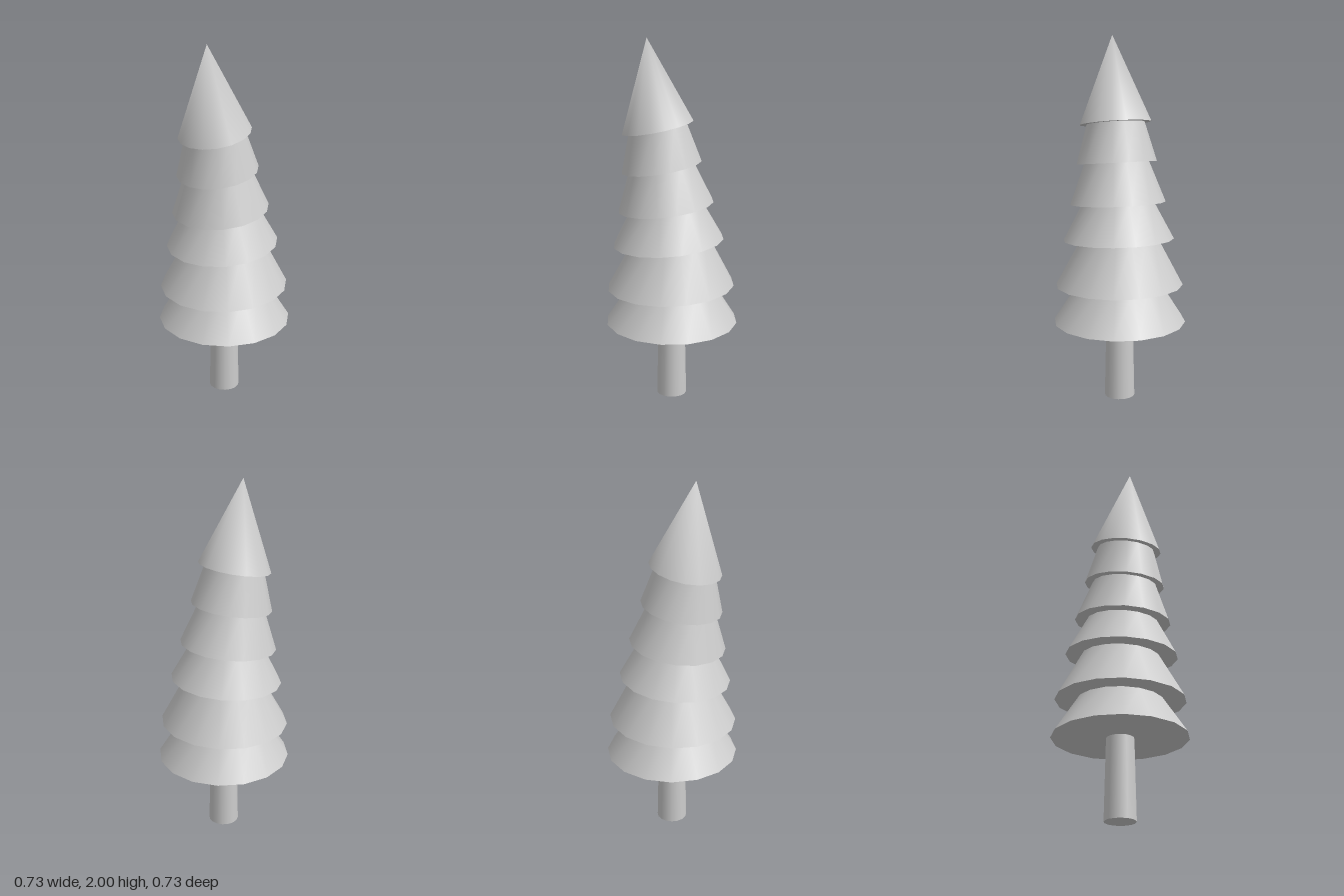
import * as THREE from 'three';

const SIDES = 16;

// Point on a ring tilted about z: ring = [centre x, centre y, radius, tilt]
function ringPoint([cx, cy, r, tilt], i) {
  const a = (i / SIDES) * Math.PI * 2;
  const u = r * Math.cos(a);
  return [cx + u * Math.cos(tilt), cy + u * Math.sin(tilt), r * Math.sin(a)];
}

// Closed skirt: smooth sides from a base ring to an upper ring or a shared tip, plus a flat underside
function skirtGeometry(base, top) {
  const pos = [];
  const index = [];
  const pointed = top[2] === 0;
  for (let i = 0; i < SIDES; i++) pos.push(...ringPoint(base, i));
  if (pointed) pos.push(top[0], top[1], 0);
  else for (let i = 0; i < SIDES; i++) pos.push(...ringPoint(top, i));

  for (let i = 0; i < SIDES; i++) {
    const j = (i + 1) % SIDES;
    if (pointed) index.push(i, SIDES, j);
    else index.push(i, SIDES + i, j, j, SIDES + i, SIDES + j);
  }

  // Underside has its own vertices so the rim stays sharp
  const start = pos.length / 3;
  for (let i = 0; i < SIDES; i++) pos.push(...ringPoint(base, i));
  pos.push(base[0], base[1], 0);
  for (let i = 0; i < SIDES; i++) {
    index.push(start + SIDES, start + i, start + ((i + 1) % SIDES));
  }

  const geometry = new THREE.BufferGeometry();
  geometry.setAttribute('position', new THREE.Float32BufferAttribute(pos, 3));
  geometry.setIndex(index);
  geometry.computeVertexNormals();
  return geometry;
}

export function createModel() {
  const model = new THREE.Group();
  model.name = 'leaningFirTree';
  const grey = new THREE.MeshStandardMaterial({ color: 0xcccccc });
  grey.name = 'lightGrey';

  // Tapered trunk
  const trunk = new THREE.Mesh(new THREE.CylinderGeometry(0.074, 0.084, 0.45, SIDES), grey);
  trunk.name = 'trunk';
  trunk.position.y = 0.225;
  model.add(trunk);

  // Foliage tiers, leaning further with height:
  // [base x, base y, base radius, tilt, upper x, upper radius]
  const tiers = [
    [0, 0.44, 0.365, 0, -0.002, 0.23],
    [-0.005, 0.647, 0.351, 0.034, -0.004, 0.213],
    [-0.018, 0.9, 0.304, 0.078, -0.028, 0.196],
    [-0.032, 1.1, 0.262, 0.115, -0.057, 0.177],
    [-0.055, 1.318, 0.22, 0.16, -0.077, 0.158],
    [-0.076, 1.531, 0.196, 0.198],
  ];
  tiers.forEach(([x, y, r, tilt, topX, topR], i) => {
    const next = tiers[i + 1];
    const top = next ? [topX, next[1] + 0.003, topR, next[3]] : [-0.132, 2, 0, 0];
    const tier = new THREE.Mesh(skirtGeometry([x, y, r, tilt], top), grey);
    tier.name = next ? `foliageTier${i + 1}` : 'treeTop';
    model.add(tier);
  });

  return model;
}
